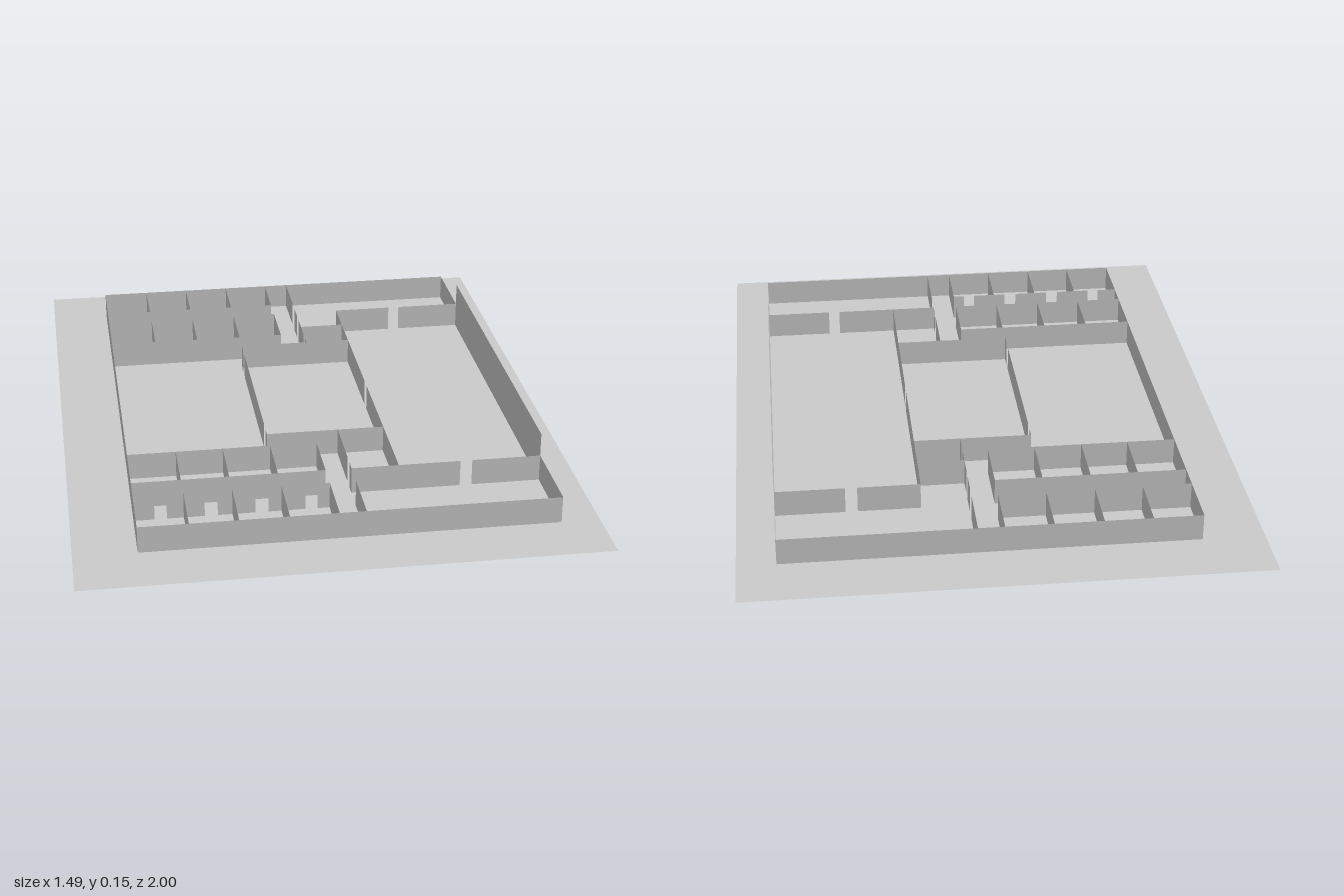
import * as THREE from 'three';

const LOW = 0.08, TALL = 0.15;

export function createModel() {
  const group = new THREE.Group();
  const material = new THREE.MeshStandardMaterial({ color: 0xcccccc, side: THREE.DoubleSide, flatShading: true });

  function add(name, geometry) {
    const mesh = new THREE.Mesh(geometry, material);
    mesh.name = name;
    group.add(mesh);
    return mesh;
  }
  // Thin wall along x at depth z; each span is [start, end], gaps are doorways
  function wallX(name, z, ...spans) {
    for (const [a, b] of spans) {
      add(name, new THREE.PlaneGeometry(b - a, LOW)).position.set((a + b) / 2, LOW / 2, z);
    }
  }
  // Thin wall along z at position x
  function wallZ(name, x, spans, height = LOW) {
    for (const [a, b] of spans) {
      const wall = add(name, new THREE.PlaneGeometry(b - a, height));
      wall.rotation.y = Math.PI / 2;
      wall.position.set(x, height / 2, (a + b) / 2);
    }
  }

  // Ground slab
  add('floor', new THREE.PlaneGeometry(1.49, 2).rotateX(-Math.PI / 2));

  // Outer walls, with a taller middle stretch on the left side
  const W = -0.565, E = 0.633, N = -0.826, S = 0.823;
  wallX('backWall', N, [W, E]);
  wallX('frontWall', S, [W, E]);
  wallZ('rightWall', W, [[N, S]]);
  wallZ('leftWall', E, [[N, -0.576], [0.568, S]]);
  wallZ('tallLeftWall', E, [[-0.576, 0.568]], TALL);

  // Four rows of small rooms
  const rowEnd = -0.003;
  for (const span of [[N, -0.655], [-0.576, -0.4], [0.393, 0.568], [0.645, S]]) {
    for (const x of [-0.422, -0.283, -0.142, rowEnd]) wallZ('roomDivider', x, [span]);
  }
  for (const z of [-0.655, -0.576, -0.4, 0.393, 0.568]) wallX('roomRowWall', z, [W, rowEnd]);
  wallX('roomRowDoorWall', 0.645, [W, -0.505], [-0.47, -0.362], [-0.325, -0.217], [-0.18, -0.073], [-0.038, rowEnd]);

  // Corridor walls with doorways
  const C = 0.073;
  wallZ('corridorWall', C, [[N, -0.655], [-0.615, -0.547], [-0.51, -0.4], [-0.365, -0.328],
    [0.318, 0.497], [0.533, 0.568], [0.643, S]]);

  // Central hall
  const H = 0.212;
  wallX('hallBackWall', -0.328, [-0.142, H]);
  wallX('hallFrontWall', 0.318, [-0.142, H]);
  wallZ('hallRightWall', -0.142, [[-0.328, -0.293], [-0.257, 0.245], [0.282, 0.318]]);
  wallZ('hallLeftWall', H, [[-0.576, -0.005], [0.03, 0.568]]);
  wallX('closetWall', -0.455, [C, H]);

  // Cross walls of the long left room
  wallX('longRoomBackWall', -0.576, [H, 0.395], [0.43, E]);
  wallX('longRoomFrontWall', 0.568, [C, 0.395], [0.43, E]);

  return group;
}
